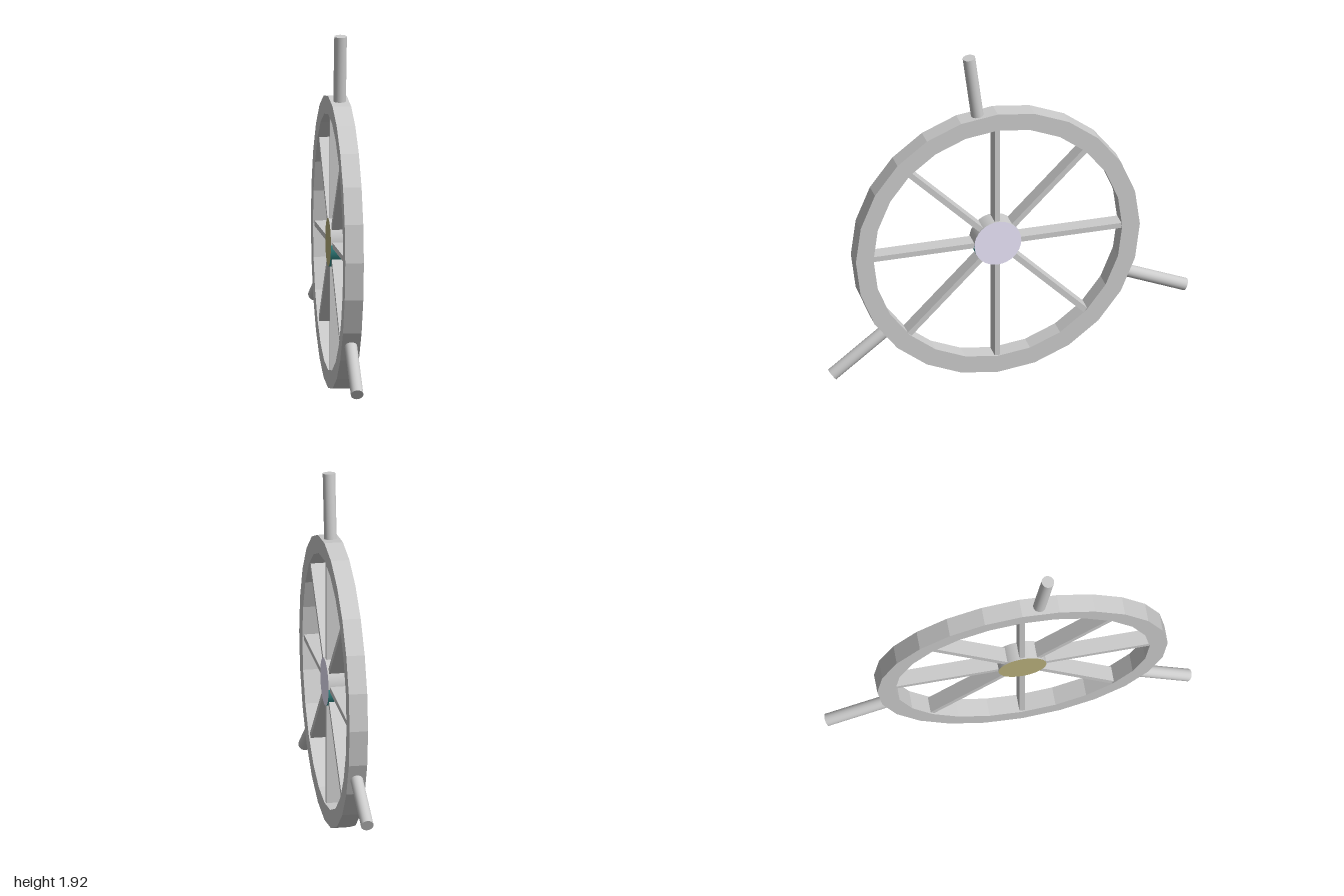
import * as THREE from 'three';

const DEPTH = 0.1, R_OUT = 0.788, R_IN = 0.69, R_HUB = 0.13;
const mat = (color, extra = {}) => new THREE.MeshStandardMaterial({ color, ...extra });

function ringPoints(radius, sides) {
  return Array.from({ length: sides }, (_, i) => {
    const a = (i / sides) * Math.PI * 2;
    return new THREE.Vector2(Math.cos(a) * radius, Math.sin(a) * radius);
  });
}

export function createModel() {
  const model = new THREE.Group();
  // The wheel is built facing +z, then turned to face +x
  const wheel = new THREE.Group();
  wheel.name = 'wheel';
  wheel.position.set(0, R_OUT, 0.073);
  wheel.rotation.y = Math.PI / 2;
  model.add(wheel);

  const add = (name, geometry, material) => {
    const mesh = new THREE.Mesh(geometry, material);
    mesh.name = name;
    wheel.add(mesh);
    return mesh;
  };
  const grey = mat(0xcccccc);
  const flatGrey = mat(0xcccccc, { flatShading: true });

  // Faceted rim
  const rim = new THREE.Shape(ringPoints(R_OUT, 24));
  rim.holes.push(new THREE.Path(ringPoints(R_IN, 24).reverse()));
  const rimGeo = new THREE.ExtrudeGeometry(rim, { depth: DEPTH, bevelEnabled: false });
  add('rim', rimGeo.translate(0, 0, -DEPTH / 2), flatGrey);

  // Eight flat spokes from hub to rim
  const inner = R_HUB - 0.03, outer = R_IN + 0.01;
  for (let i = 0; i < 8; i++) {
    const geo = new THREE.BoxGeometry(0.03, outer - inner, 0.084);
    geo.translate(0, (inner + outer) / 2, 0);
    add('spoke', geo, flatGrey).rotation.z = (i * Math.PI) / 4;
  }

  // Three round handles standing out from the rim
  for (let i = 0; i < 3; i++) {
    const geo = new THREE.CylinderGeometry(0.034, 0.034, 0.37, 20);
    geo.translate(0, 0.955, 0);
    add('handle', geo, grey).rotation.z = THREE.MathUtils.degToRad(7.4 + i * 120);
  }

  // Hub: upper and lower shells with a coloured disc on each face
  const shell = (start) =>
    new THREE.CylinderGeometry(R_HUB, R_HUB, DEPTH, 16, 1, true, start, Math.PI).rotateX(Math.PI / 2);
  add('hubUpperShell', shell(Math.PI / 2), grey);
  add('hubLowerShell', shell(-Math.PI / 2), mat(0x3a9a98));
  const disc = new THREE.CircleGeometry(R_HUB, 32);
  add('hubDiscRight', disc, mat(0xeae6fb)).position.z = DEPTH / 2;
  const back = add('hubDiscLeft', disc, mat(0xb8b07c));
  back.position.z = -DEPTH / 2;
  back.rotation.y = Math.PI;

  return model;
}
